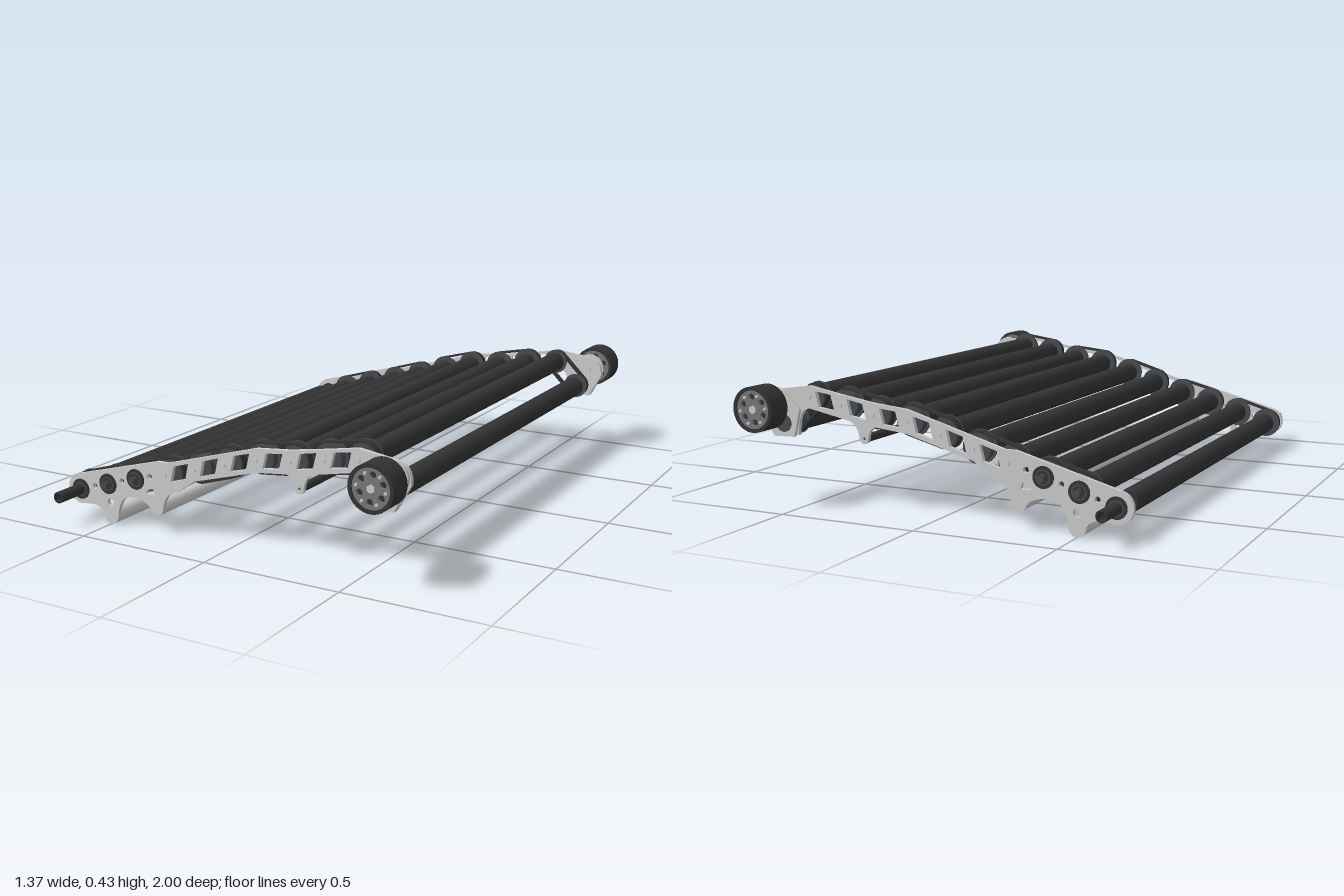
import * as THREE from 'three';
import { toCreasedNormals } from 'three/addons/utils/BufferGeometryUtils.js';

const metal = new THREE.MeshStandardMaterial({ color: 0xcccccc });
const rubber = new THREE.MeshStandardMaterial({ color: 0x333333 });
const pulleyMat = new THREE.MeshStandardMaterial({ color: 0x454a50 });
const hubMat = new THREE.MeshStandardMaterial({ color: 0x777777 });

// Roller axes (x, y), from the low end to the high end
const AXES = [[-0.63, 0.108], [-0.507, 0.145], [-0.385, 0.18], [-0.26, 0.212], [-0.138, 0.248], [-0.017, 0.285],
  [0.108, 0.318], [0.235, 0.331], [0.36, 0.355], [0.484, 0.373], [0.575, 0.282]];
const WHEEL = [0.607, 0.343];
const LEGS = [[-0.5, 0.031], [-0.3, 0.09], [0.27, 0.248]];

const circle = (x, y, r) => new THREE.Path().absarc(x, y, r, 0, Math.PI * 2, true);
const disc = (r) => new THREE.Shape().absarc(0, 0, r, 0, Math.PI * 2, false);
const polygon = (pts) => new THREE.Path(pts.map(([x, y]) => new THREE.Vector2(x, y)));

// Extrusion along z, centred on z = 0, with smooth rounds and sharp rims
function slab(shape, depth, curveSegments = 16) {
  const geo = new THREE.ExtrudeGeometry(shape, { depth, bevelEnabled: false, curveSegments });
  return toCreasedNormals(geo.translate(0, 0, -depth / 2), 0.6);
}
function ring(outer, inner, depth, seg = 16) {
  const shape = disc(outer);
  shape.holes.push(circle(0, 0, inner));
  return slab(shape, depth, seg);
}
const rod = (r, length, seg = 24) => new THREE.CylinderGeometry(r, r, length, seg).rotateX(Math.PI / 2);

function add(parent, name, geo, mat, x = 0, y = 0, z = 0) {
  const mesh = new THREE.Mesh(geo, mat);
  mesh.name = name;
  mesh.position.set(x, y, z);
  parent.add(mesh);
  return mesh;
}

// Arched side plate with mounting feet, bearing holes and lightening cutouts
function sidePlateShape() {
  const s = new THREE.Shape();
  const [a, b, c] = LEGS;
  s.moveTo(-0.645, 0.159);
  s.absarc(-0.632, 0.108, 0.054, 1.8, 4.6, false);
  s.lineTo(-0.58, 0.06);
  s.quadraticCurveTo(-0.54, 0.06, -0.528, 0.03);
  s.absarc(a[0], a[1], 0.03, Math.PI, Math.PI * 2, false);
  s.quadraticCurveTo(-0.46, 0.115, -0.4, 0.112);
  s.quadraticCurveTo(-0.345, 0.11, -0.326, 0.085);
  s.absarc(b[0], b[1], 0.027, Math.PI, Math.PI * 2, false);
  s.quadraticCurveTo(-0.265, 0.15, -0.21, 0.16);
  s.lineTo(-0.138, 0.21);
  s.lineTo(0.108, 0.278);
  s.lineTo(0.225, 0.29);
  s.quadraticCurveTo(0.25, 0.28, 0.253, 0.248);
  s.absarc(c[0], c[1], 0.017, Math.PI, Math.PI * 2, false);
  s.quadraticCurveTo(0.292, 0.295, 0.33, 0.305);
  s.lineTo(0.484, 0.335);
  s.quadraticCurveTo(0.53, 0.33, 0.53, 0.24);
  s.lineTo(0.615, 0.235);
  s.lineTo(0.665, 0.32);
  s.quadraticCurveTo(0.67, 0.39, 0.6, 0.395);
  s.lineTo(0.484, 0.412);
  s.lineTo(0.36, 0.39);
  s.lineTo(0.235, 0.37);
  s.lineTo(0.108, 0.358);
  s.lineTo(-0.138, 0.288);
  s.lineTo(-0.25, 0.256);
  s.lineTo(-0.29, 0.256);
  // Bearing holes, then slanted cutouts between neighbouring rollers
  AXES.slice(0, 3).forEach(([x, y]) => s.holes.push(circle(x, y, 0.034)));
  for (let i = 3; i < 9; i++) {
    const [x0, y0] = AXES[i], [x1, y1] = AXES[i + 1];
    const k = (y1 - y0) / (x1 - x0), x = (x0 + x1) / 2, y = (y0 + y1) / 2;
    const corner = (dx, dy) => [x + dx, y + k * dx + dy];
    s.holes.push(polygon([corner(-0.038, -0.026), corner(-0.024, 0.026), corner(0.038, 0.026), corner(0.024, -0.026)]));
  }
  // Feet lightening holes and small bolt holes
  s.holes.push(polygon([[-0.345, 0.135], [-0.305, 0.135], [-0.312, 0.155], [-0.335, 0.152]]));
  s.holes.push(circle(-0.5, 0.078, 0.014));
  [[-0.567, 0.127], [-0.446, 0.163], [-0.325, 0.198]].forEach(([x, y]) => s.holes.push(circle(x, y, 0.01)));
  s.holes.push(circle(c[0], c[1], 0.006), circle(0.555, 0.345, 0.01));
  return s;
}

// Belt loop around two pulleys
function beltGeometry(p, q, r, width) {
  const half = Math.hypot(q[0] - p[0], q[1] - p[1]) / 2;
  const trace = (path, rad) => path.absarc(half, 0, rad, -Math.PI / 2, Math.PI / 2, false)
    .absarc(-half, 0, rad, Math.PI / 2, Math.PI * 1.5, false).closePath();
  const shape = trace(new THREE.Shape(), r);
  shape.holes.push(trace(new THREE.Path(), r - 0.007));
  return slab(shape, width).rotateZ(Math.atan2(q[1] - p[1], q[0] - p[0]))
    .translate((p[0] + q[0]) / 2, (p[1] + q[1]) / 2, 0);
}

// Wheel: tyre, recessed drilled hub and bolts
function makeWheel(side) {
  const wheel = new THREE.Group();
  wheel.name = 'wheel';
  add(wheel, 'tyre', ring(0.077, 0.065, 0.088, 24), rubber);
  const hub = disc(0.0655);
  for (let i = 0; i < 6; i++) {
    const a = i * Math.PI / 3 + 0.4;
    hub.holes.push(circle(Math.cos(a) * 0.043, Math.sin(a) * 0.043, 0.011));
    add(wheel, 'hubBolt', rod(0.005, 0.006, 10), metal,
      Math.cos(a + 0.52) * 0.05, Math.sin(a + 0.52) * 0.05, side * 0.042);
  }
  add(wheel, 'hub', slab(hub, 0.078), hubMat);
  add(wheel, 'hubCore', rod(0.054, 0.06), rubber);
  add(wheel, 'axleCap', rod(0.014, 0.088, 6), metal);
  wheel.position.set(...WHEEL, side * 0.956);
  return wheel;
}

export function createModel() {
  const model = new THREE.Group();
  model.name = 'rollerConveyor';

  // Rollers and their shafts
  AXES.forEach(([x, y], i) => {
    const len = i === 0 || i === 10 ? 1.55 : 1.575;
    add(model, 'roller', ring(0.038, 0.018, len), rubber, x, y);
    if (i === 0) add(model, 'hollowShaft', ring(0.02, 0.015, 1.945, 8), rubber, x, y);
    else if (i < 3) add(model, 'rollerShaft', rod(0.013, 1.76, 6), pulleyMat, x, y);
    else add(model, 'rollerShaft', rod(i === 10 ? 0.02 : 0.012, i === 10 ? 1.74 : 1.68, 12), i === 10 ? pulleyMat : metal, x, y);
  });

  // Cross tubes joining the feet of the side plates
  add(model, 'crossTube', rod(0.029, 1.69), metal, ...LEGS[0]);
  add(model, 'crossTube', rod(0.026, 1.69), metal, ...LEGS[1]);
  add(model, 'crossRod', rod(0.014, 1.69, 16), rubber, ...LEGS[2]);

  const plate = slab(sidePlateShape(), 0.015, 10);
  for (const side of [1, -1]) {
    const assembly = new THREE.Group();
    assembly.name = side > 0 ? 'frontSide' : 'backSide';
    model.add(assembly);
    add(assembly, 'sidePlate', plate, metal, 0, 0, side * 0.846);

    // Belts pair rollers alternately on the two sides
    for (let i = side > 0 ? 0 : 1; i < 10; i += 2) {
      const r = i === 9 ? 0.045 : 0.054;
      add(assembly, 'driveBelt', beltGeometry(AXES[i], AXES[i + 1], r, 0.026), rubber, 0, 0, side * 0.808);
      for (const [x, y] of [AXES[i], AXES[i + 1]]) {
        add(assembly, 'pulley', ring(r - 0.006, 0.018, 0.028), pulleyMat, x, y, side * 0.808);
        add(assembly, 'pulleyFlange', ring(r + 0.003, 0.018, 0.004), pulleyMat, x, y, side * 0.793);
      }
    }
    // Bearings of the three lowest rollers
    AXES.slice(0, 3).forEach(([x, y], i) => {
      add(assembly, 'bearing', ring(0.036, i ? 0.012 : 0.019, 0.024), rubber, x, y, side * 0.846);
      add(assembly, 'bearingRing', ring(0.026, 0.021, 0.028), pulleyMat, x, y, side * 0.846);
    });
    // Bolt heads on the remaining shafts
    AXES.slice(3, 10).forEach(([x, y]) => add(assembly, 'boltHead', rod(0.009, 0.006, 6), metal, x, y, side * 0.856));

    // Wheel bracket, axle and collars
    const bracket = new THREE.Shape();
    bracket.absarc(...WHEEL, 0.058, -0.3, 2.4, false);
    bracket.lineTo(0.512, 0.33);
    bracket.lineTo(0.535, 0.237);
    bracket.lineTo(0.618, 0.235);
    bracket.holes.push(circle(...AXES[10], 0.026), circle(0.628, 0.343, 0.012));
    add(assembly, 'wheelBracket', slab(bracket, 0.012), metal, 0, 0, side * 0.867);
    add(assembly, 'rollerBearing', ring(0.03, 0.018, 0.03), pulleyMat, ...AXES[10], side * 0.862);
    add(assembly, 'wheelAxle', rod(0.015, 0.1, 6), metal, ...WHEEL, side * 0.88);
    add(assembly, 'axleCollar', rod(0.028, 0.016), metal, ...WHEEL, side * 0.884);
    assembly.add(makeWheel(side));
  }
  return model;
}
